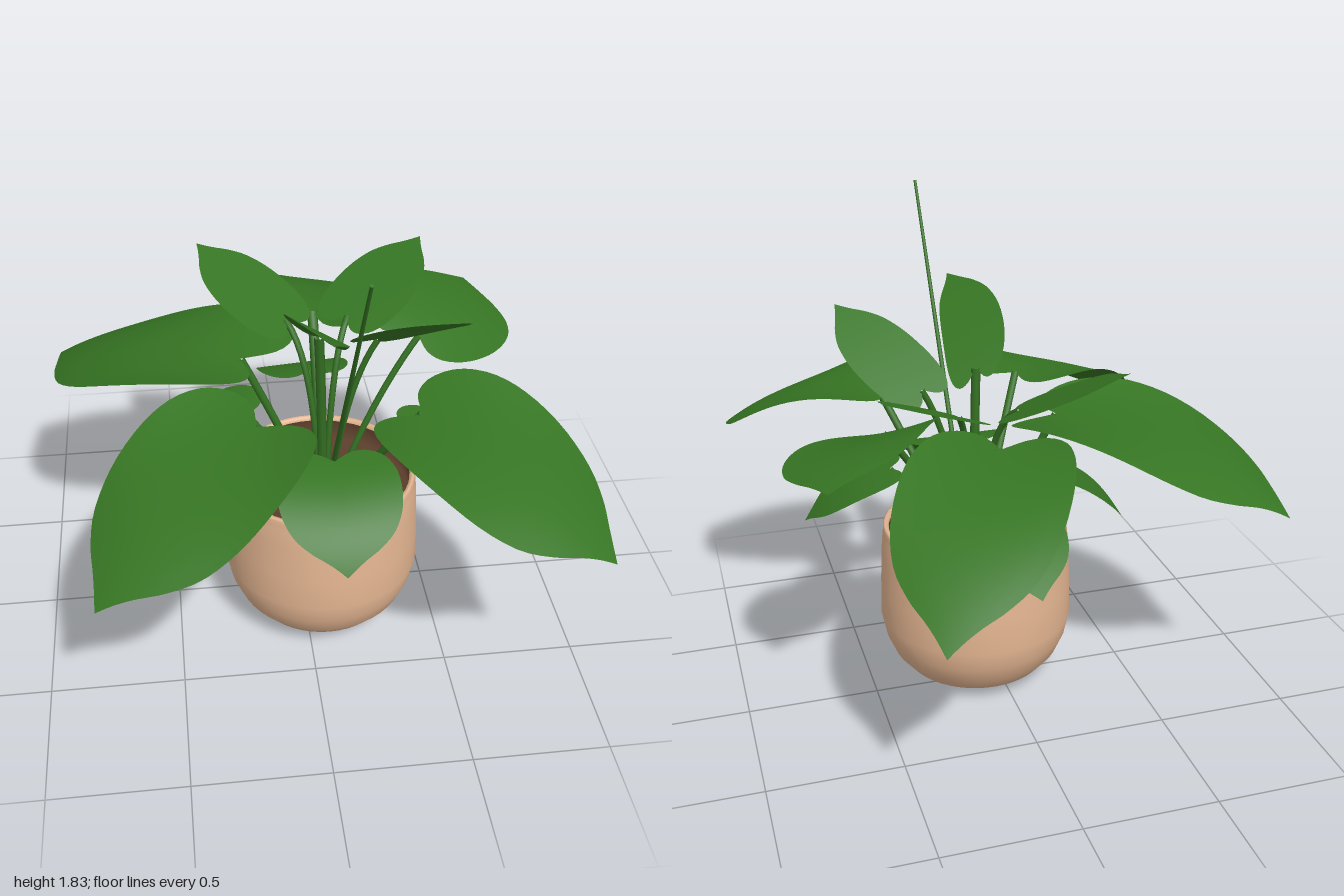
import * as THREE from 'three';

const V = (a) => new THREE.Vector3(...a);

// Heart-shaped half outline: x = distance along the midrib, y = half width
const outline = new THREE.CatmullRomCurve3(
  [[0, 0], [-0.09, 0.28], [-0.1, 0.56], [-0.02, 0.82], [0.12, 0.96], [0.28, 1],
    [0.48, 0.96], [0.66, 0.81], [0.79, 0.56], [0.88, 0.3], [0.94, 0.14], [1, 0]]
    .map(([u, w]) => new THREE.Vector3(u, w, 0))
);

// Curved leaf blade from base to tip; roll lifts one side, sweep bends it sideways,
// arch bows the midrib, cup raises the lobes and lowers the outer edges
function leafGeometry(base, tip, halfWidth, { roll = 0, sweep = 0, arch = 0, cup = 0 }) {
  const axis = V(tip).sub(V(base));
  const dir = axis.clone().normalize();
  const side = dir.clone().cross(new THREE.Vector3(0, 1, 0)).normalize().applyAxisAngle(dir, -roll);
  const normal = side.clone().cross(dir);
  const rows = 36, cols = 12;
  const pos = [], index = [];
  for (let i = 0; i <= rows; i++) {
    const t = i / rows;
    const edge = outline.getPoint(t);
    for (let j = 0; j <= cols; j++) {
      const s = (j / cols) * 2 - 1;
      const u = THREE.MathUtils.lerp(t, edge.x, Math.abs(s));
      const w = s * edge.y;
      const bow = 4 * u * (1 - u);
      const p = V(base).addScaledVector(axis, u)
        .addScaledVector(side, w * halfWidth + sweep * bow)
        .addScaledVector(normal, arch * bow - cup * w * w * (2 * u - 0.8));
      pos.push(p.x, p.y, p.z);
      if (i < rows && j < cols) {
        const a = i * (cols + 1) + j, b = a + cols + 1;
        index.push(a, a + 1, b, b, a + 1, b + 1);
      }
    }
  }
  const g = new THREE.BufferGeometry();
  g.setAttribute('position', new THREE.Float32BufferAttribute(pos, 3));
  g.setIndex(index);
  g.computeVertexNormals();
  return g;
}

// Bowed stalk from the soil to a leaf base; steep stalks rise first and bend out near the top
function stemGeometry(from, to, radius, steep) {
  const a = V(from), b = V(to);
  const mid = a.clone().lerp(b, 0.5 - 0.4 * steep);
  mid.y = THREE.MathUtils.lerp(a.y, b.y, 0.55 + 0.35 * steep);
  return new THREE.TubeGeometry(new THREE.QuadraticBezierCurve3(a, mid, b), 16, radius, 8);
}

export function createModel() {
  const mats = {};
  for (const [name, color] of Object.entries({
    clay: 0xe5b692, soil: 0x5c3e2b, leafGreen: 0x367523, stemGreen: 0x336e22,
  })) {
    mats[name] = new THREE.MeshStandardMaterial({ color });
    mats[name].name = name;
  }
  mats.leafGreen.side = THREE.DoubleSide;

  const model = new THREE.Group();
  const add = (name, geometry, material, parent = model) => {
    const mesh = new THREE.Mesh(geometry, material);
    mesh.name = name;
    parent.add(mesh);
    return mesh;
  };
  const lathe = (pts) => new THREE.LatheGeometry(pts.map(([x, y]) => new THREE.Vector2(x, y)), 48);

  // Pot, rounded at the bottom, with a dark inside
  const pot = new THREE.Group();
  pot.name = 'pot';
  pot.position.set(0.07, 0, 0.09);
  model.add(pot);
  add('potBody', lathe([[0, 0], [0.15, 0], [0.21, 0.015], [0.28, 0.06], [0.33, 0.12], [0.36, 0.19],
    [0.376, 0.27], [0.373, 0.4], [0.366, 0.54], [0.36, 0.61], [0.355, 0.625], [0.357, 0.645],
    [0.35, 0.652], [0.338, 0.65], [0.335, 0.635]]), mats.clay, pot);
  add('potInside', lathe([[0.335, 0.635], [0.338, 0.55], [0, 0.56]]), mats.soil, pot);

  // name, base, tip, half width, shape, stem radius, stem steepness
  const leaves = [
    // large drooping leaves
    ['backLeaf', [0.08, 1.11, -0.3], [0.46, 0.75, -1.0], 0.295, { arch: 0.08, cup: 0.06 }, 0.02, 0.2],
    ['rightSideLeaf', [-0.22, 1.1, -0.01], [-0.92, 0.83, -0.57], 0.34,
      { sweep: -0.06, arch: 0.08, cup: 0.08 }, 0.015, 0],
    ['frontRightLeaf', [-0.2, 1.11, 0.44], [-0.76, 0.8, 0.95], 0.32,
      { sweep: -0.01, arch: 0.08, cup: 0.08 }, 0.015, 0],
    ['frontLeftLeaf', [0.37, 1.11, 0.43], [0.93, 0.82, 0.94], 0.33,
      { sweep: 0.01, arch: 0.08, cup: 0.08 }, 0.015, 0],
    ['leftSideLeaf', [0.45, 1.12, -0.06], [0.72, 1.11, -0.5], 0.265,
      { roll: -0.3, sweep: 0.025, arch: 0.04, cup: 0.03 }, 0.013, 0.2],
    // small upright leaves
    ['upperRightLeaf', [-0.04, 1.18, -0.13], [-0.35, 1.38, -0.4], 0.165, {}, 0.012, 0.9],
    ['upperLeftLeaf', [0.19, 1.18, -0.13], [0.51, 1.36, -0.4], 0.165, {}, 0.012, 0.9],
    ['upperFrontLeaf', [0.05, 1.26, 0.13], [0.04, 1.5, 0.59], 0.125,
      { roll: 0.5, sweep: 0.04, arch: 0.02 }, 0.018, 0.3],
    ['upperFrontLeftLeaf', [0.27, 1.21, 0.09], [0.52, 1.46, 0.43], 0.14,
      { roll: 0.35, sweep: -0.01, arch: 0.01 }, 0.012, 0.5],
    // low leaves around the rim
    ['lowFrontLeaf', [0.08, 0.88, 0.36], [0.08, 0.65, 0.72], 0.22, { arch: 0.05, cup: 0.01 }, 0.01, 0],
    ['lowRightLeaf', [-0.2, 0.87, 0.02], [-0.48, 0.66, -0.08], 0.18, { roll: 0.2, arch: 0.04 }, 0.01, 0],
    ['lowLeftLeaf', [0.38, 0.87, 0.18], [0.71, 0.67, 0.23], 0.18, { arch: 0.03 }, 0.01, 0],
    ['lowBackLeaf', [0.06, 0.87, -0.25], [0.02, 0.66, -0.6], 0.18, { arch: 0.03 }, 0.01, 0],
  ];
  for (const [name, base, tip, width, shape, radius, steep] of leaves) {
    const plant = new THREE.Group();
    plant.name = name;
    model.add(plant);
    add('blade', leafGeometry(base, tip, width, shape), mats.leafGreen, plant);
    // each stalk starts a little towards its own leaf
    const root = [0.08 + (base[0] - 0.08) * 0.12, 0.5, 0.08 + (base[2] - 0.08) * 0.12];
    add('stem', stemGeometry(root, base, radius, steep), mats.stemGreen, plant);
  }

  // Tall thin unopened shoot leaning forward
  const from = V([0.1, 0.49, 0.04]), to = V([0.112, 1.83, 0.8]);
  const shoot = add('shoot', new THREE.CylinderGeometry(0.006, 0.012, from.distanceTo(to), 8), mats.stemGreen);
  shoot.position.copy(from).lerp(to, 0.5);
  shoot.quaternion.setFromUnitVectors(new THREE.Vector3(0, 1, 0), to.clone().sub(from).normalize());

  return model;
}
